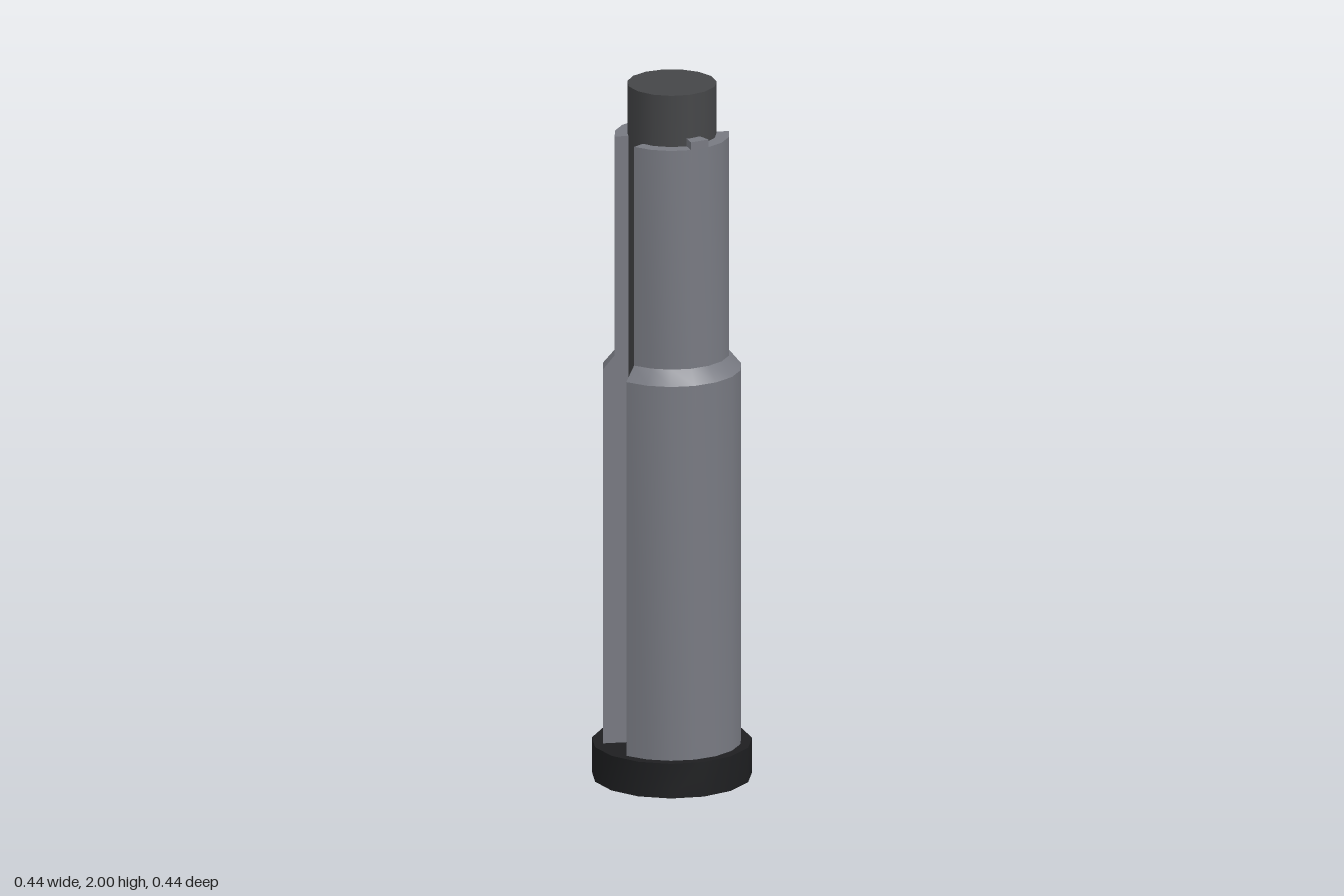
import * as THREE from 'three';
import { mergeGeometries, toCreasedNormals } from 'three/addons/utils/BufferGeometryUtils.js';

const CREASE = 0.55;
const rad = THREE.MathUtils.degToRad;

// Closed solid swept from a [radius, y] profile (counter-clockwise), centred on +z
function sector(profile, halfAngle, segments) {
  const pts = profile.map(([r, y]) => new THREE.Vector2(r, y));
  const skin = new THREE.LatheGeometry([...pts, pts[0]], segments, -halfAngle, 2 * halfAngle);
  const caps = [-halfAngle, halfAngle].map((phi) => {
    const cap = new THREE.ShapeGeometry(new THREE.Shape(pts));
    if (phi > 0) cap.index.array.reverse();
    return cap.rotateY(phi - Math.PI / 2);
  });
  return toCreasedNormals(mergeGeometries([skin, ...caps]), CREASE);
}

// 15-sided cylinder with a corner on +x
function cylinder(radius, y0, y1) {
  const g = new THREE.CylinderGeometry(radius, radius, y1 - y0, 15, 1, false, Math.PI / 2);
  return toCreasedNormals(g.translate(0, (y0 + y1) / 2, 0), CREASE);
}

export function createModel() {
  const model = new THREE.Group();
  model.name = 'slottedPin';
  const dark = new THREE.MeshStandardMaterial({ color: 0x1e1f21 });
  const mid = new THREE.MeshStandardMaterial({ color: 0x454648 });
  const light = new THREE.MeshStandardMaterial({ color: 0x787a82 });

  const add = (parent, name, geometry, material) => {
    const mesh = new THREE.Mesh(geometry, material);
    mesh.name = name;
    parent.add(mesh);
  };

  // Base disc and central rod
  add(model, 'base', cylinder(0.222, 0, 0.1), dark);
  add(model, 'core', cylinder(0.124, 0.1, 2), mid);

  // Two stepped half shells, each with a small locating tab on top
  const shell = sector([
    [0.122, 0.1], [0.193, 0.1], [0.193, 1.18],
    [0.16, 1.22], [0.16, 1.852], [0.122, 1.852],
  ], rad(70), 7);
  const tab = sector([
    [0.122, 1.852], [0.16, 1.852], [0.16, 1.874], [0.122, 1.874],
  ], rad(10), 1);
  ['frontShell', 'backShell'].forEach((name, i) => {
    const half = new THREE.Group();
    half.name = name;
    add(half, 'shell', shell, light);
    add(half, 'tab', tab, light);
    half.rotation.y = i * Math.PI;
    model.add(half);
  });

  // The odd-sided base is centred by its outline
  model.children.forEach((part) => { part.position.x = -0.0025; });
  return model;
}
